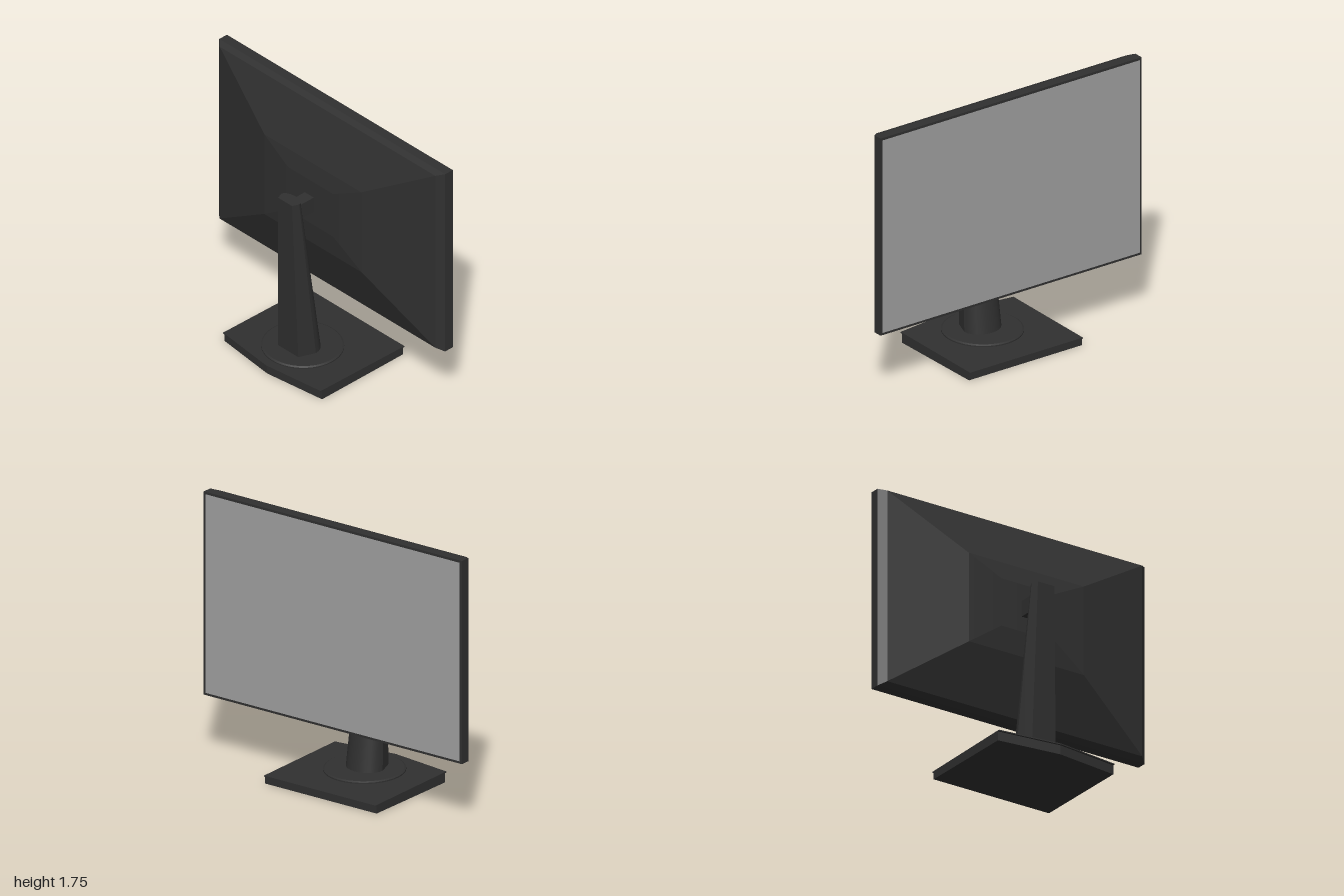
import * as THREE from 'three';
import { ConvexGeometry } from 'three/addons/geometries/ConvexGeometry.js';
import { toCreasedNormals } from 'three/addons/utils/BufferGeometryUtils.js';

const Z0 = -0.01; // centre line of the stand

export function createModel() {
  const model = new THREE.Group();
  model.name = 'monitor';
  const dark = new THREE.MeshStandardMaterial({ color: 0x303030 });
  const grey = new THREE.MeshStandardMaterial({ color: 0xa0a0a0 });

  const add = (name, geometry, material = dark, parent = model) => {
    const mesh = new THREE.Mesh(geometry, material);
    mesh.name = name;
    parent.add(mesh);
    return mesh;
  };
  const hull = (points, crease = 0.3) =>
    toCreasedNormals(new ConvexGeometry(points.map((p) => new THREE.Vector3(...p))), crease);

  // Display: rectangular sections [x, yMin, yMax, half width] from front to back
  const display = new THREE.Group();
  display.name = 'display';
  model.add(display);
  const sections = [
    [0.235, 0.412, 1.745, 1.0],
    [0.17, 0.412, 1.745, 1.0],
    [0.13, 0.437, 1.73, 0.955],
    [0.005, 0.80, 1.40, 0.43],
    [-0.015, 0.96, 1.28, 0.2],
  ];
  const corners = [];
  for (const [x, y0, y1, w] of sections)
    for (const y of [y0, y1]) for (const z of [-w, w]) corners.push([x, y, z]);
  add('housing', hull(corners, 0.1), dark, display);

  // Screen inside a narrow bezel
  const screen = add('screen', new THREE.PlaneGeometry(1.97, 1.303), grey, display);
  screen.rotation.y = Math.PI / 2;
  screen.position.set(0.2365, 1.0785, 0);

  // Base: pentagonal outline with a pointed back, top sloping down to the front
  const topY = (x) => 0.062 - 0.017 * x;
  const outline = (inset) => [
    [-0.387 + inset, 0], [-0.335 + inset, 0.432], [0.38 - inset, 0.432],
    [0.38 - inset, -0.432], [-0.335 + inset, -0.432],
  ];
  const slab = (inset, low, high) =>
    hull(outline(inset).flatMap(([x, z]) => [[x, low(x), z + Z0], [x, high(x), z + Z0]]), 0.1);
  add('baseBody', slab(0.012, () => 0, (x) => topY(x) - 0.004));
  add('baseTopPlate', slab(0, (x) => topY(x) - 0.007, topY));

  // Low round plinth lying on the sloped base
  const plinth = add('plinth', toCreasedNormals(new THREE.LatheGeometry(
    [[0, -0.01], [0.256, -0.01], [0.256, 0.008], [0.245, 0.014], [0, 0.014]]
      .map((p) => new THREE.Vector2(...p)), 48), 0.4));
  plinth.position.set(-0.073, topY(-0.073), Z0);
  plinth.rotation.z = -0.017;

  // Neck: flat back, rounded front, tapering towards the top
  const neckRing = (y, back, front, backHalf, half) => {
    const ring = [[back, y, Z0 - backHalf], [back, y, Z0 + backHalf]];
    const mid = back + (front - back) * 0.5;
    for (let i = 0; i <= 12; i++) {
      const a = -Math.PI / 2 + (Math.PI * i) / 12;
      ring.push([mid + (front - mid) * Math.cos(a), y, Z0 + half * Math.sin(a)]);
    }
    return ring;
  };
  add('neck', hull([
    ...neckRing(0.06, -0.195, 0.027, 0.09, 0.131),
    ...neckRing(1.215, -0.222, -0.135, 0.062, 0.079),
  ], 0.45));

  // Arm joining neck and display
  const arm = add('arm', new THREE.BoxGeometry(0.18, 0.106, 0.08));
  arm.position.set(-0.08, 1.114, Z0);

  return model;
}
